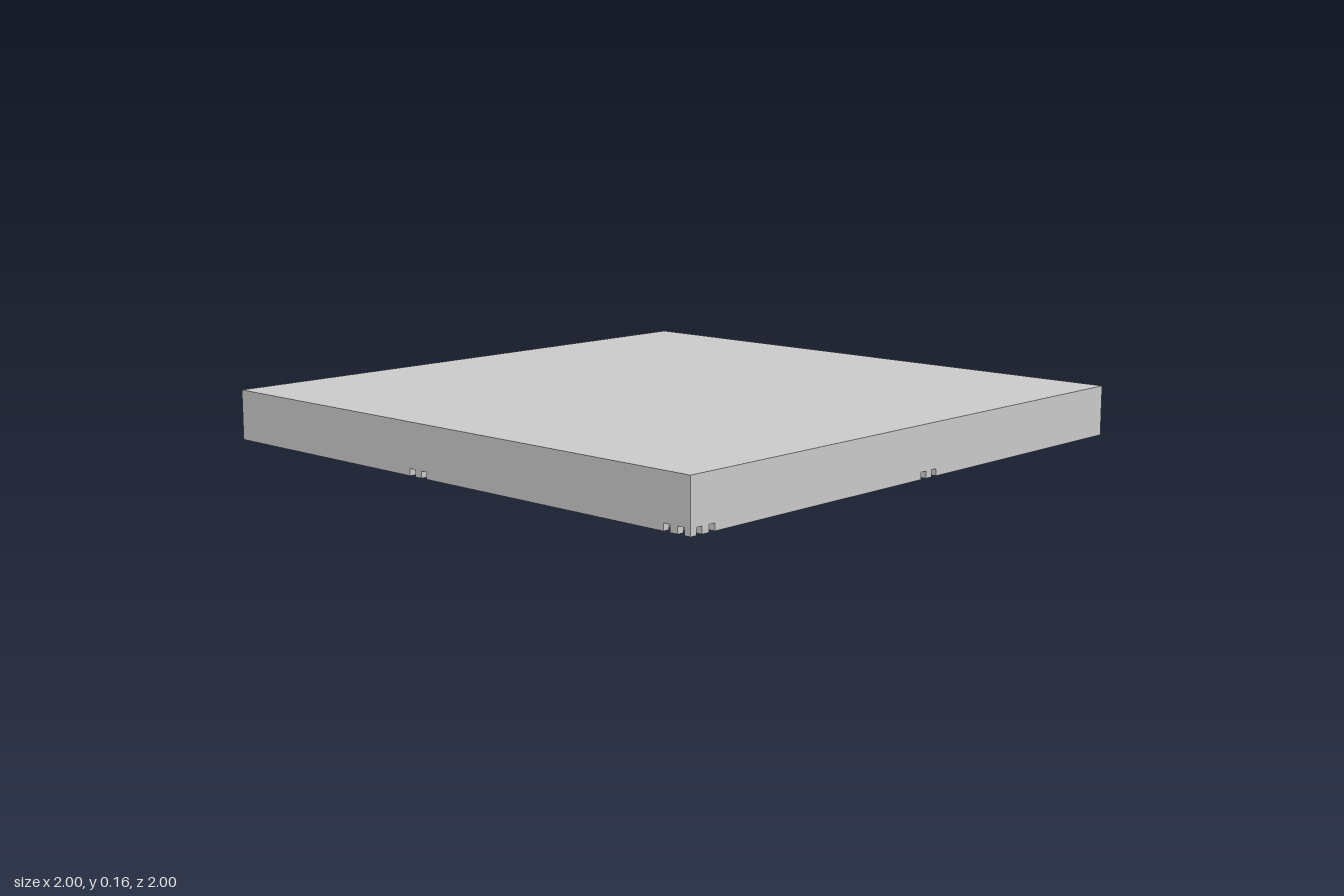
import * as THREE from 'three';

const TOP = 0.165, DECK_BOTTOM = 0.078, RAIL_TOP = 0.022;
const material = new THREE.MeshStandardMaterial({ color: 0xcccccc, flatShading: true });

// Box given by its limits on each axis
function slab(name, [x0, x1], [y0, y1], [z0, z1]) {
  const mesh = new THREE.Mesh(new THREE.BoxGeometry(x1 - x0, y1 - y0, z1 - z0), material);
  mesh.name = name;
  mesh.position.set((x0 + x1) / 2, (y0 + y1) / 2, (z0 + z1) / 2);
  return mesh;
}

// Three rails across the width of a beam, separated by two grooves
function railStrips([a, b]) {
  const rail = 0.022, core = 0.014, mid = (a + b) / 2;
  return [[a, a + rail], [mid - core, mid + core], [b - rail, b]];
}

export function createModel() {
  const model = new THREE.Group();
  model.name = 'ribbedPanel';

  // Beam footprints: two run front to back, two run side to side
  const beamsX = [[-0.167, -0.047], [0.88, 1]];
  const beamsZ = [[-0.102, 0.017], [0.884, 1]];
  const baysX = [[-1, -0.167], [-0.047, 0.88]];
  const baysZ = [[-1, -0.102], [0.017, 0.884]];

  // Flat deck
  model.add(slab('deck', [-1, 1], [DECK_BOTTOM, TOP], [-1, 1]));

  // Beams under the deck
  const beamHeight = [RAIL_TOP, DECK_BOTTOM];
  const beams = new THREE.Group();
  beams.name = 'beams';
  for (const z of beamsZ) beams.add(slab('crossBeam', [-1, 1], beamHeight, z));
  for (const x of beamsX) {
    for (const z of baysZ) beams.add(slab('longBeam', x, beamHeight, z));
  }
  model.add(beams);

  // Rails below the beams, with the grooves running through every crossing
  const rails = new THREE.Group();
  rails.name = 'rails';
  const railHeight = [0, RAIL_TOP];
  const stripsX = beamsX.flatMap(railStrips);
  const stripsZ = beamsZ.flatMap(railStrips);
  for (const x of stripsX) {
    for (const z of [...baysZ, ...stripsZ]) rails.add(slab('longRail', x, railHeight, z));
  }
  for (const z of stripsZ) {
    for (const x of baysX) rails.add(slab('crossRail', x, railHeight, z));
  }
  model.add(rails);

  return model;
}
